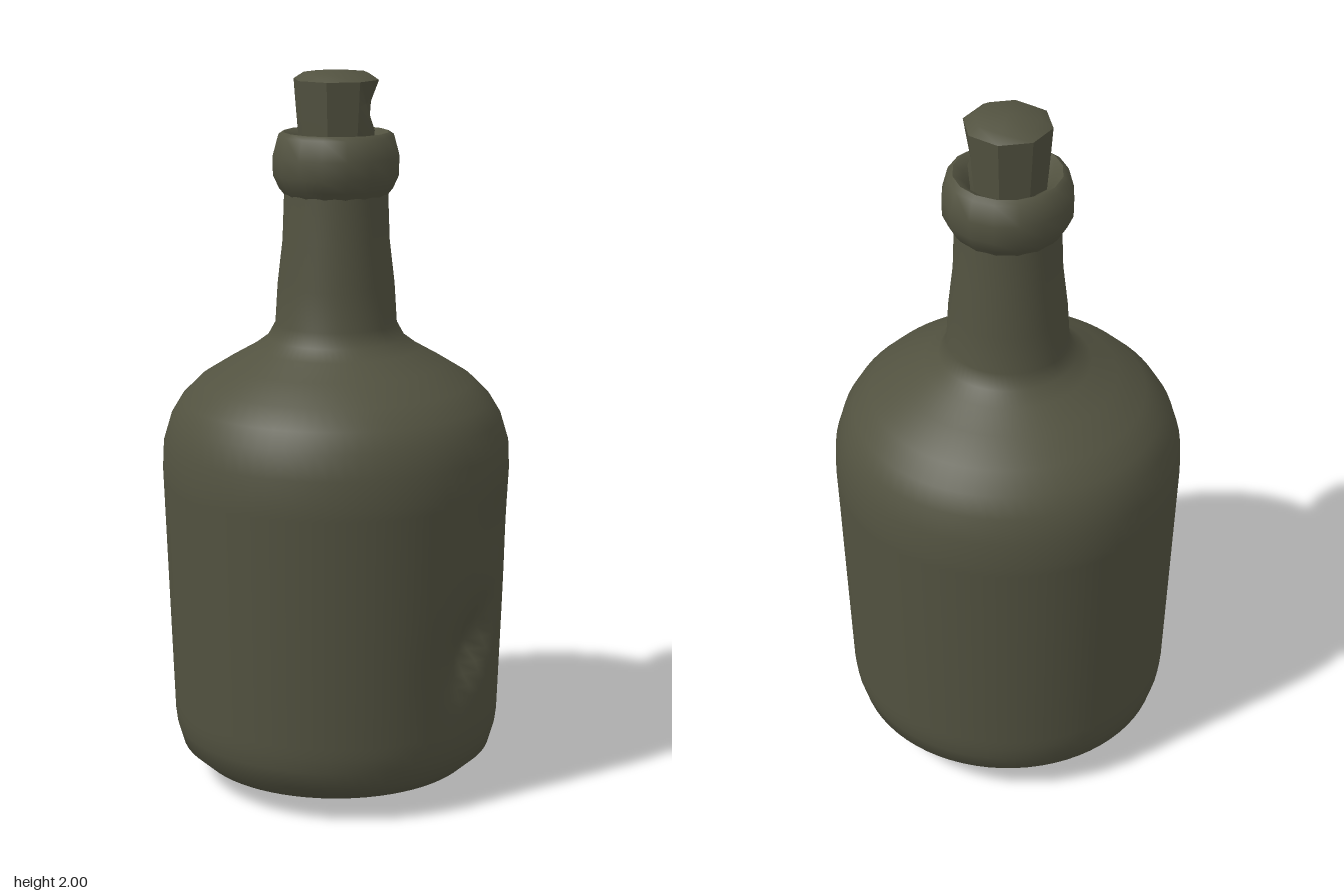
import * as THREE from 'three';
import { mergeVertices, toCreasedNormals } from 'three/addons/utils/BufferGeometryUtils.js';

const olive = new THREE.MeshStandardMaterial({ color: 0x525240 });
olive.name = 'dark olive';

// Revolve a profile, move its vertices by a rule and weld the seam.
function turned(profile, segments, rule) {
  const geo = new THREE.LatheGeometry(profile.map(([r, y]) => new THREE.Vector2(r, y)), segments);
  geo.deleteAttribute('uv');
  geo.deleteAttribute('normal');
  const pos = geo.attributes.position;
  const v = new THREE.Vector3();
  for (let i = 0; rule && i < pos.count; i++) {
    rule(v.fromBufferAttribute(pos, i));
    pos.setXYZ(i, v.x, v.y, v.z);
  }
  const welded = mergeVertices(geo, 1e-4);
  welded.computeVertexNormals();
  return welded;
}

function pushIn(v, depth) {
  const r = Math.hypot(v.x, v.z);
  if (r < 0.02) return;
  v.x *= 1 - depth / r;
  v.z *= 1 - depth / r;
}

// Slanted dent: a long slope from the upper left, ending in a sharp wall.
function dent(v) {
  if (v.z < 0 || v.y > 0.98) return;
  const dx = v.x - 0.19, dy = v.y - 0.44;
  const along = dx * 0.575 + dy * 0.818;
  const across = -dx * 0.818 + dy * 0.575;
  const width = across > 0 ? 0.1 : 0.025;
  const main = 0.05 * Math.exp(-((along / 0.13) ** 2) - (across / width) ** 2);
  const shallow = 0.015 * Math.exp(-(((v.x - 0.28) / 0.08) ** 2) - ((v.y - 0.76) / 0.12) ** 2);
  pushIn(v, main + shallow);
}

export function createModel() {
  const group = new THREE.Group();
  group.name = 'corkedBottle';
  const add = (name, geo) => {
    const mesh = new THREE.Mesh(geo, olive);
    mesh.name = name;
    group.add(mesh);
  };

  // Body, shoulder and neck; the wall has extra rows for the dent
  const profile = [[0, 0], [0.16, 0.008], [0.3, 0.028], [0.39, 0.06], [0.44, 0.105], [0.456, 0.16]];
  for (let i = 0; i <= 24; i++) profile.push([0.461 + 0.024 * i / 24, 0.2 + 0.7 * i / 24]);
  profile.push([0.481, 0.98], [0.46, 1.05], [0.43, 1.1], [0.38, 1.15], [0.3, 1.2], [0.23, 1.24],
    [0.19, 1.27], [0.168, 1.31], [0.161, 1.42], [0.147, 1.54], [0.141, 1.7]);
  add('bottle', turned(profile, 72, dent));

  // Thick lip around the mouth
  const lip = [[0.138, 1.66], [0.158, 1.685], [0.174, 1.72], [0.175, 1.77], [0.16, 1.825],
    [0.145, 1.835], [0.12, 1.82], [0.1, 1.78]];
  add('lip', toCreasedNormals(turned(lip, 16), 0.9));

  // Rough cork with a chipped side
  const cork = [[0.1, 1.76], [0.107, 1.84], [0.113, 1.91], [0.118, 1.975], [0.09, 1.993], [0, 2]];
  add('cork', toCreasedNormals(turned(cork, 8, (v) => {
    if (v.x > 0.03 && v.z > 0.03 && Math.abs(v.y - 1.91) < 0.01) pushIn(v, 0.03);
  }), 0.6));

  return group;
}
